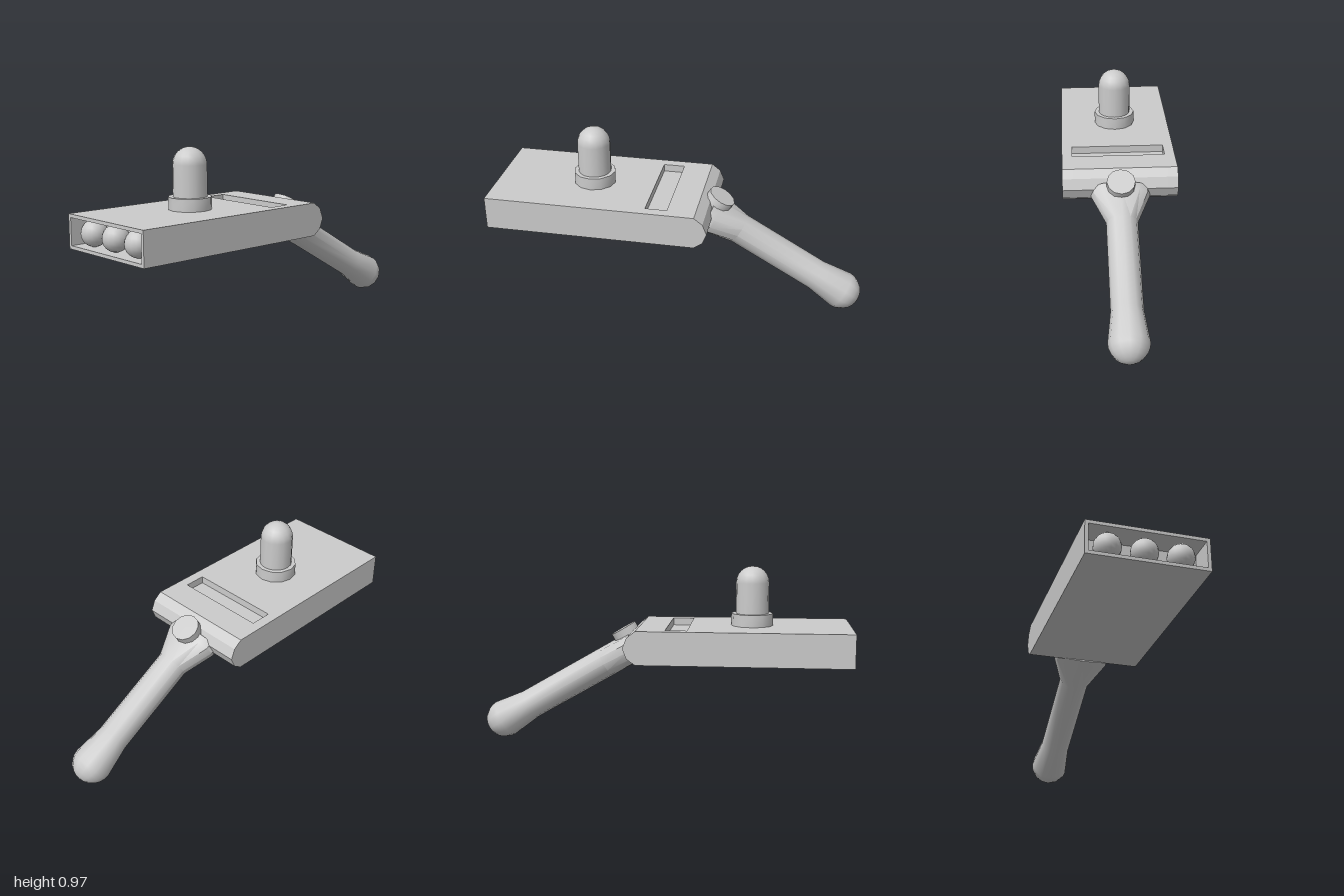
import * as THREE from 'three';
import { mergeVertices, toCreasedNormals } from 'three/addons/utils/BufferGeometryUtils.js';

const material = new THREE.MeshStandardMaterial({ color: 0xcccccc });
const V2 = (x, y) => new THREE.Vector2(x, y);

function add(parent, name, geometry, x = 0, y = 0, z = 0) {
  const mesh = new THREE.Mesh(geometry, material);
  mesh.name = name;
  mesh.position.set(x, y, z);
  parent.add(mesh);
  return mesh;
}

// Side profile of the body, optionally cut by the end recess and the top slot
function bodyProfile(recess, slot) {
  const pts = [[-1, 0.478], [0.12, 0.478], [0.165, 0.51], [0.187, 0.565], [0.165, 0.62], [0.12, 0.655]];
  if (slot) pts.push([-0.03, 0.655], [-0.03, 0.615], [-0.145, 0.615], [-0.145, 0.655]);
  pts.push([-1, 0.655]);
  if (recess) pts.push([-1, 0.637], [-0.86, 0.637], [-0.86, 0.496], [-1, 0.496]);
  return new THREE.Shape(pts.map(p => V2(...p)));
}

function bodyLayer(parent, name, z0, z1, recess, slot) {
  const geo = new THREE.ExtrudeGeometry(bodyProfile(recess, slot), { depth: z1 - z0, bevelEnabled: false });
  add(parent, name, geo, 0, 0, z0);
}

// Quarter arc for a rounded end, centred at height c
const dome = (r, c, n) => Array.from({ length: n + 1 }, (_, i) => {
  const a = (i / n) * Math.PI / 2;
  return V2(i === n ? 0 : r * Math.cos(a), c + r * Math.sin(a));
});

// Handle: lathed bar with a knob, its root widened sideways
function handleGeometry() {
  const pts = [V2(0, -0.86), V2(0.083, -0.86), V2(0.083, -0.82), V2(0.083, -0.66),
    V2(0.083, -0.165), ...dome(0.105, 0, 6)];
  let geo = new THREE.LatheGeometry(pts, 12);
  geo.rotateZ(-Math.PI / 2);
  const p = geo.attributes.position;
  for (let i = 0; i < p.count; i++) {
    const z = p.getZ(i);
    if (p.getX(i) < -0.8 && Math.abs(z) > 1e-5) {
      p.setZ(i, Math.sign(z) * 0.155 * Math.pow(Math.abs(z) / 0.083, 0.65));
    }
  }
  geo.deleteAttribute('normal');
  geo.deleteAttribute('uv');
  geo = mergeVertices(geo, 1e-4);
  return toCreasedNormals(geo, 0.6);
}

export function createModel() {
  const model = new THREE.Group();
  model.name = 'leverBox';

  // Body with a slot on top and an open left end
  const body = new THREE.Group();
  body.name = 'body';
  model.add(body);
  bodyLayer(body, 'bodyCore', -0.25, 0.25, true, true);
  bodyLayer(body, 'bodyRimFront', 0.25, 0.287, true, false);
  bodyLayer(body, 'bodyRimBack', -0.287, -0.25, true, false);
  bodyLayer(body, 'sideWallFront', 0.287, 0.305, false, false);
  bodyLayer(body, 'sideWallBack', -0.305, -0.287, false, false);

  // Three balls in the end recess
  for (const z of [-0.18, 0, 0.18]) {
    add(model, 'recessBall', new THREE.SphereGeometry(0.068, 16, 12), -0.935, 0.566, z);
  }

  // Domed post in its collar
  add(model, 'postCollar',
    toCreasedNormals(new THREE.CylinderGeometry(0.112, 0.112, 0.065, 12), 0.7), -0.475, 0.6875, 0);
  const post = new THREE.LatheGeometry([V2(0.088, 0.66), ...dome(0.088, 0.884, 6)], 16);
  add(model, 'post', post, -0.475, 0, 0);

  // Sloping handle with its button
  const handle = new THREE.Group();
  handle.name = 'handle';
  handle.position.set(0.893, 0.109, 0);
  handle.rotation.z = -Math.PI / 6;
  model.add(handle);
  add(handle, 'handleBar', handleGeometry());
  add(handle, 'handleButton',
    toCreasedNormals(new THREE.CylinderGeometry(0.075, 0.075, 0.06, 12), 0.6), -0.84, 0.086, 0);

  return model;
}
